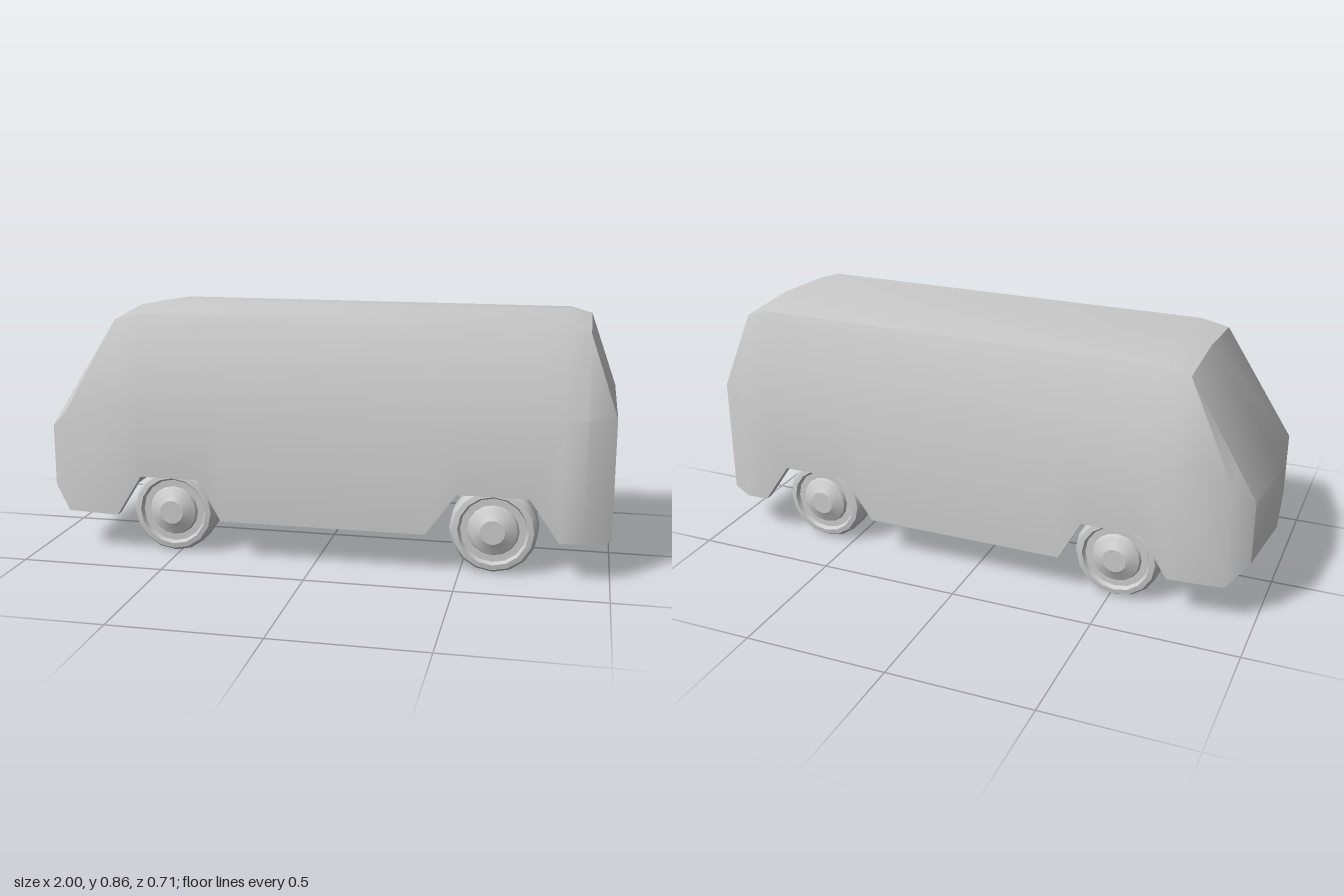
import * as THREE from 'three';
import { toCreasedNormals } from 'three/addons/utils/BufferGeometryUtils.js';

const FLOOR = 0.2;
const grey = new THREE.MeshStandardMaterial({ color: 0xcccccc, side: THREE.DoubleSide });

// Collects quads between point rows, mirrored across z
function makePanel(name, strips, crease) {
  const pos = [];
  const tri = (a, b, c) => {
    const t = new THREE.Triangle(...[a, b, c].map(p => new THREE.Vector3(...p)));
    if (t.getArea() < 1e-6) return;
    pos.push(...a, ...b, ...c);
    for (const p of [a, c, b]) pos.push(p[0], p[1], -p[2]);
  };
  for (const [low, up] of strips) {
    for (let i = 0; i < low.length - 1; i++) {
      tri(low[i], low[i + 1], up[i + 1]);
      tri(low[i], up[i + 1], up[i]);
    }
  }
  const geo = new THREE.BufferGeometry();
  geo.setAttribute('position', new THREE.Float32BufferAttribute(pos, 3));
  const mesh = new THREE.Mesh(toCreasedNormals(geo, crease), grey);
  mesh.name = name;
  return mesh;
}

// Side stations: x, sill y, belt y, half width, top x, top y, top z
const stations = [
  [-0.97, 0.22, 0.44, 0.285, -0.97, 0.44, 0.285],
  [-0.90, 0.14, 0.50, 0.335, -0.90, 0.552, 0.278],
  [-0.71, 0.14, 0.555, 0.354, -0.73, 0.825, 0.26],
  [-0.62, 0.285, 0.555, 0.354, -0.63, 0.847, 0.26],
  [-0.41, 0.285, 0.555, 0.354, -0.41, 0.847, 0.26],
  [-0.33, 0.14, 0.555, 0.354, -0.33, 0.847, 0.26],
  [0.385, 0.14, 0.555, 0.354, 0.385, 0.847, 0.26],
  [0.49, 0.285, 0.555, 0.354, 0.49, 0.847, 0.26],
  [0.73, 0.285, 0.555, 0.354, 0.73, 0.847, 0.26],
  [0.83, 0.14, 0.555, 0.354, 0.83, 0.847, 0.26],
  [0.91, 0.14, 0.555, 0.354, 0.905, 0.825, 0.26],
  [1.00, 0.14, 0.555, 0.30, 0.905, 0.825, 0.26],
];

function makeBody() {
  const group = new THREE.Group();
  group.name = 'body';

  // Side walls with wheel arch cut-outs
  const sill = stations.map(s => [s[0], s[1], s[3]]);
  const belt = stations.map(s => [s[0], s[2], s[3]]);
  const top = stations.map(s => [s[4], s[5], s[6]]);
  const sides = [[sill, belt], [belt, top]];

  // Tailgate, roof, windscreen and nose: centre line and right-hand edge
  const centre = [[1, 0.14, 0], [1, 0.555, 0], [0.905, 0.84, 0], [0.83, 0.865, 0],
    [-0.63, 0.865, 0], [-0.73, 0.845, 0], [-1, 0.44, 0], [-1, 0.22, 0], [-0.93, 0.14, 0]];
  const edge = [[1, 0.14, 0.3], [1, 0.555, 0.3], [0.905, 0.825, 0.26], [0.83, 0.847, 0.26],
    [-0.63, 0.847, 0.26], [-0.73, 0.825, 0.26], [-0.97, 0.44, 0.285], [-0.97, 0.22, 0.285],
    [-0.90, 0.14, 0.335]];
  group.add(makePanel('bodyShell', [...sides, [centre, edge]], 0.62));

  // Underside: sill lip, inner sill wall and recessed floor
  const outer = sill.slice(1);
  const last = outer.length - 1;
  const lip = outer.map(([x, y, z], i) =>
    [i === 0 ? x + 0.03 : i === last ? x - 0.04 : i === last - 1 ? x - 0.03 : x, y, z - 0.035]);
  const floor = lip.map(([x, y, z]) => [x, Math.max(y, FLOOR), z]);
  const mid = floor.map(([x, y]) => [x, y, 0]);
  const lipMid = lip.map(([x, y]) => [x, y, 0]);
  group.add(makePanel('underside', [
    [mid, floor], [floor, lip], [lip, outer],
    [[[-0.93, 0.14, 0], lipMid[0]], [outer[0], lip[0]]],
    [[lipMid[0], mid[0]], [lip[0], floor[0]]],
    [[lipMid[last], [1, 0.14, 0]], [lip[last], outer[last]]],
    [[mid[last], lipMid[last]], [floor[last], lip[last]]],
  ], 0.3));
  return group;
}

// Tyre, rim and domed hub cap in one turned profile (radius, distance from centre line)
function makeWheelGeometry() {
  const profile = [[0, 0.19], [0.135, 0.19], [0.15, 0.205], [0.15, 0.285], [0.138, 0.305],
    [0.12, 0.308], [0.112, 0.294], [0.088, 0.294], [0.083, 0.305], [0.055, 0.318],
    [0.042, 0.325], [0, 0.325]];
  const geo = new THREE.LatheGeometry(profile.map(p => new THREE.Vector2(...p)), 16);
  return toCreasedNormals(geo, 0.5);
}

export function createModel() {
  const model = new THREE.Group();
  model.name = 'van';
  model.add(makeBody());

  const wheelGeo = makeWheelGeometry();
  for (const [axle, x] of [['front', -0.52], ['rear', 0.61]]) {
    for (const side of [1, -1]) {
      const wheel = new THREE.Mesh(wheelGeo, grey);
      wheel.name = axle + (side > 0 ? 'WheelNear' : 'WheelFar');
      wheel.position.set(x, 0.152, 0);
      wheel.rotation.x = side * Math.PI / 2;
      model.add(wheel);
    }
  }
  return model;
}
